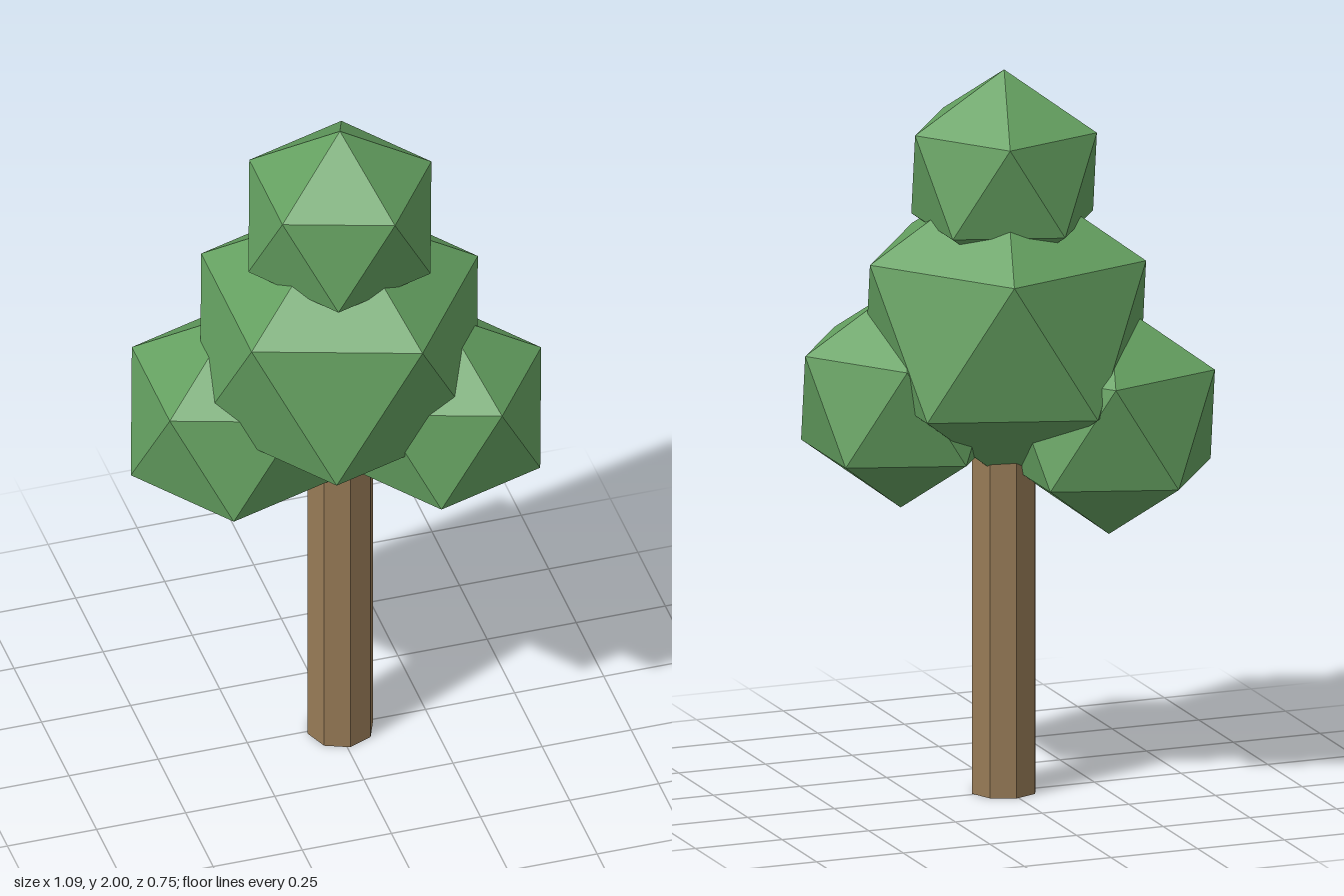
import * as THREE from 'three';

// Icosahedron standing on a point: two poles and two staggered rings of five,
// with an upper-ring corner facing +x.
function clumpGeometry(radius) {
  const verts = [0, 1, 0, 0, -1, 0];
  const faces = [];
  const h = 1 / Math.sqrt(5), r = 2 / Math.sqrt(5);
  for (let k = 0; k < 5; k++) {
    const a = (k * 2 * Math.PI) / 5, b = a + Math.PI / 5;
    verts.push(r * Math.cos(a), h, r * Math.sin(a));
    verts.push(r * Math.cos(b), -h, r * Math.sin(b));
    const u = 2 + 2 * k, l = u + 1;
    const u2 = 2 + 2 * ((k + 1) % 5), l2 = u2 + 1;
    faces.push(0, u2, u, u, u2, l, l, u2, l2, 1, l, l2);
  }
  return new THREE.PolyhedronGeometry(verts, faces, radius, 0);
}

export function createModel() {
  const tree = new THREE.Group();
  tree.name = 'tree';

  const bark = new THREE.MeshStandardMaterial({ color: 0x967a56, flatShading: true });
  bark.name = 'bark brown';
  const leaf = new THREE.MeshStandardMaterial({ color: 0x64a060, flatShading: true });
  leaf.name = 'leaf green';

  // Eight-sided trunk reaching into the foliage
  const trunkHeight = 1.0;
  const trunk = new THREE.Mesh(new THREE.CylinderGeometry(0.092, 0.092, trunkHeight, 8), bark);
  trunk.name = 'trunk';
  trunk.position.set(0.008, trunkHeight / 2, 0.009);
  tree.add(trunk);

  // Foliage clumps: name, radius, centre
  const clumps = [
    ['topFoliage', 0.287, 0.008, 1.713, 0.006],
    ['middleFoliage', 0.436, 0.005, 1.3, 0.006],
    ['leftFoliage', 0.308, 0.265, 1.093, 0.11],
    ['rightFoliage', 0.328, -0.253, 1.04, -0.098],
  ];
  for (const [name, radius, x, y, z] of clumps) {
    const clump = new THREE.Mesh(clumpGeometry(radius), leaf);
    clump.name = name;
    clump.position.set(x, y, z);
    tree.add(clump);
  }
  return tree;
}
